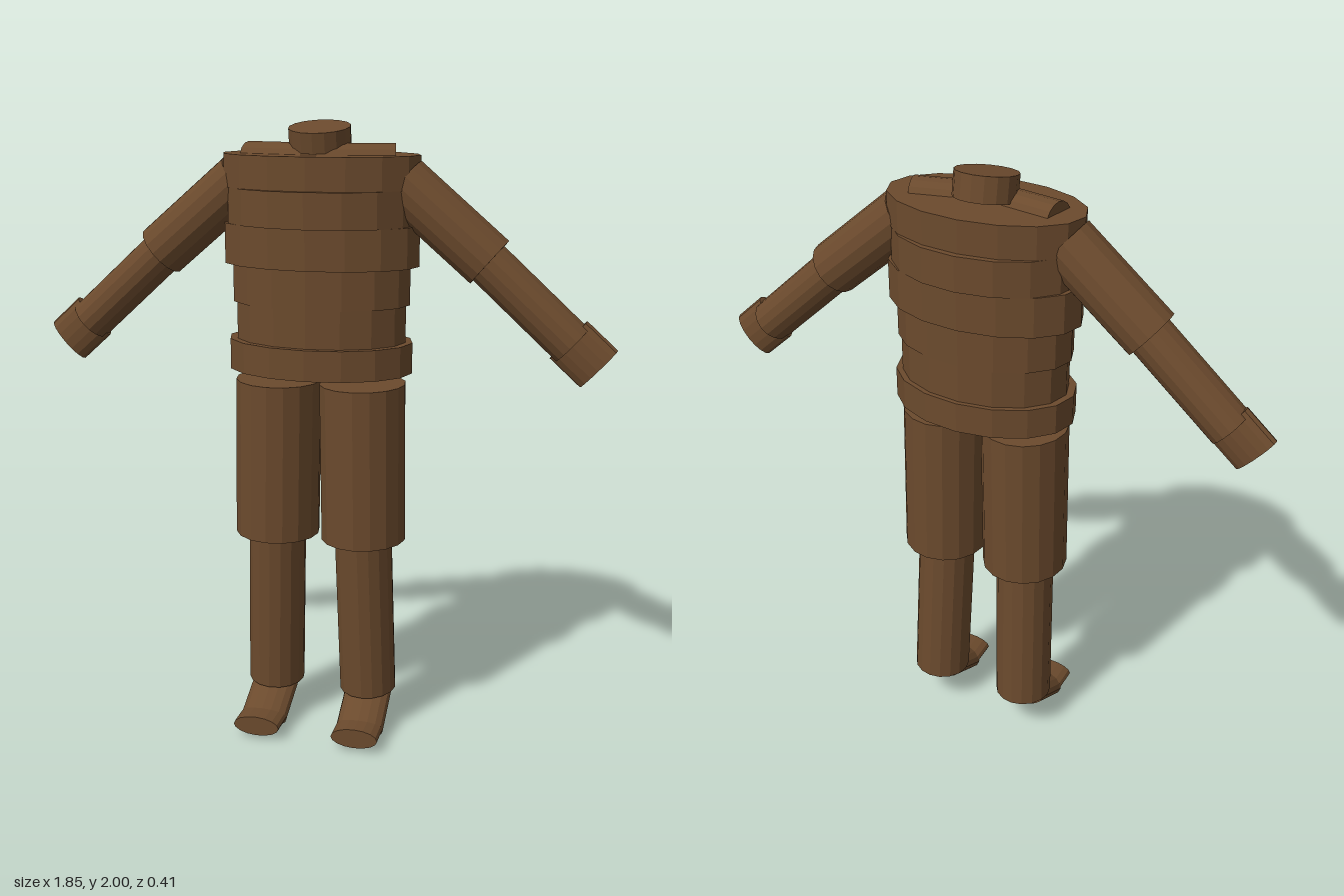
import * as THREE from 'three';

const brown = new THREE.MeshStandardMaterial({ name: 'brown', color: 0x6b4a2d, flatShading: true });
const limbGeometry = new THREE.CylinderGeometry(1, 1, 1, 16);

// Elliptical cylinder from point a to point b; width lies towards x, depth across it.
function segment(name, a, b, width, depth = width) {
  const start = new THREE.Vector3(...a);
  const end = new THREE.Vector3(...b);
  const axis = end.clone().sub(start);
  const length = axis.length();
  axis.normalize();
  const u = new THREE.Vector3(1, 0, 0);
  u.addScaledVector(axis, -u.dot(axis)).normalize();
  const w = new THREE.Vector3().crossVectors(u, axis);
  const mesh = new THREE.Mesh(limbGeometry, brown);
  mesh.name = name;
  mesh.quaternion.setFromRotationMatrix(new THREE.Matrix4().makeBasis(u, axis, w));
  mesh.position.copy(start).lerp(end, 0.5);
  mesh.scale.set(width, length, depth);
  return mesh;
}

export function createModel() {
  const model = new THREE.Group();
  model.name = 'headlessFigure';

  // Torso bands: name, bottom, top, half width, half depth, z centre
  const torso = new THREE.Group();
  torso.name = 'torso';
  const bands = [
    ['hips', 1.235, 1.332, 0.297, 0.201, -0.002],
    ['waist', 1.332, 1.45, 0.274, 0.183, -0.005],
    ['belly', 1.45, 1.57, 0.286, 0.183, -0.005],
    ['lowerChest', 1.57, 1.695, 0.313, 0.189, -0.005],
    ['chest', 1.695, 1.805, 0.298, 0.201, -0.002],
    ['upperChest', 1.805, 1.906, 0.313, 0.181, -0.002],
  ];
  for (const [name, y0, y1, w, d, z] of bands) {
    torso.add(segment(name, [0, y0, z], [0, y1, z], w, d));
  }
  torso.add(segment('neck', [0, 1.91, -0.006], [0, 1.987, 0.008], 0.096));
  model.add(torso);

  // Mirrored limbs
  for (const [side, s] of [['left', 1], ['right', -1]]) {
    const arm = new THREE.Group();
    arm.name = side + 'Arm';
    arm.add(
      segment('collarbone', [0, 1.88, 0.04], [s * 0.233, 1.88, -0.01], 0.06),
      segment('upperArm', [s * 0.257, 1.823, -0.005], [s * 0.528, 1.592, -0.005], 0.087),
      segment('forearm', [s * 0.5, 1.612, -0.005], [s * 0.787, 1.352, -0.004], 0.07),
      segment('hand', [s * 0.775, 1.367, -0.003], [s * 0.87, 1.282, -0.003], 0.08, 0.036),
    );
    const leg = new THREE.Group();
    leg.name = side + 'Leg';
    leg.add(
      segment('thigh', [s * 0.138, 1.195, -0.003], [s * 0.146, 0.677, -0.003], 0.138, 0.143),
      segment('shin', [s * 0.146, 0.69, 0], [s * 0.161, 0.135, -0.027], 0.094, 0.098),
      segment('foot', [s * 0.163, 0.122, -0.03], [s * 0.166, 0.043, 0.119], 0.079, 0.044),
      segment('toes', [s * 0.166, 0.05, 0.115], [s * 0.167, 0.05, 0.203], 0.078, 0.033),
    );
    model.add(arm, leg);
  }
  return model;
}
